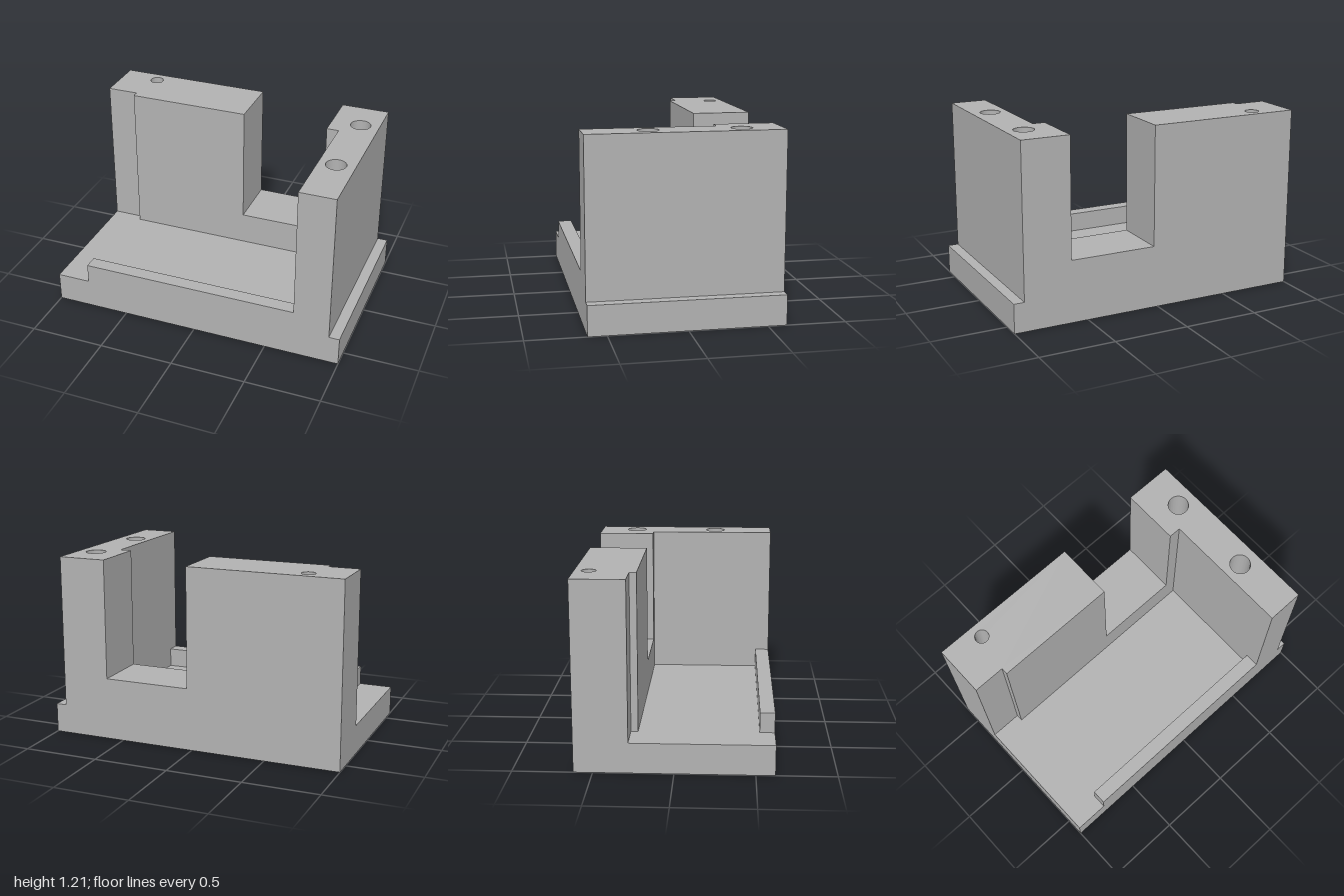
import * as THREE from 'three';
import { mergeGeometries, toCreasedNormals } from 'three/addons/utils/BufferGeometryUtils.js';

const BASE_TOP = 0.195, WALL_TOP = 1.21, HALF_Z = 0.62, REAR_Z = -0.235;

// Flat cap facing up or down, pierced by round holes [x, z, radius, depth].
function cap(outline, y, up, holes) {
  const s = up ? -1 : 1;
  const shape = new THREE.Shape(outline.map(([x, z]) => new THREE.Vector2(x, s * z)));
  for (const [x, z, r] of holes) {
    const hole = new THREE.Path();
    hole.absarc(x, s * z, r, 0, Math.PI * 2, true);
    shape.holes.push(hole);
  }
  return new THREE.ShapeGeometry(shape, 32).rotateX(s * Math.PI / 2).translate(0, y, 0).toNonIndexed();
}

// Vertical faces around an outline listed counterclockwise from above.
function sides(outline, y0, y1) {
  return outline.map(([ax, az], i) => {
    const [bx, bz] = outline[(i + 1) % outline.length];
    const g = new THREE.PlaneGeometry(Math.hypot(bx - ax, bz - az), y1 - y0);
    g.rotateY(-Math.atan2(bz - az, bx - ax));
    return g.translate((ax + bx) / 2, (y0 + y1) / 2, (az + bz) / 2).toNonIndexed();
  });
}

// Inside of a blind hole, opening upward or downward at height y.
function bore([x, z, r, depth], y, up) {
  const end = up ? y - depth : y + depth;
  const profile = up ? [[r, y], [r, end], [0, end]] : [[0, end], [r, end], [r, y]];
  const g = new THREE.LatheGeometry(profile.map(p => new THREE.Vector2(...p)), 64);
  return toCreasedNormals(g.translate(x, 0, z), 0.6);
}

function block(outline, y0, y1, topHoles = [], bottomHoles = []) {
  return mergeGeometries([
    cap(outline, y1, true, topHoles),
    cap(outline, y0, false, bottomHoles),
    ...sides(outline, y0, y1),
    ...topHoles.map(h => bore(h, y1, true)),
    ...bottomHoles.map(h => bore(h, y0, false)),
  ]);
}

const rect = (x0, x1, z0, z1) => [[x0, z1], [x1, z1], [x1, z0], [x0, z0]];

export function createModel() {
  const model = new THREE.Group();
  model.name = 'fixtureBlock';
  const grey = new THREE.MeshStandardMaterial({ color: 0xb2b2b2 });
  grey.name = 'grey';
  const add = (name, geometry) => {
    const mesh = new THREE.Mesh(geometry, grey);
    mesh.name = name;
    model.add(mesh);
  };

  // Base plate with four mounting holes underneath
  const mounts = [];
  for (const x of [-0.49, 0.81]) for (const z of [-0.43, -0.045]) mounts.push([x, z, 0.065, 0.14]);
  add('basePlate', block(rect(-1, 1, -HALF_Z, HALF_Z), 0, BASE_TOP, [], mounts));

  // Rear wall with a shallow step at its outer end
  const rear = [[-1, -HALF_Z], [-1, -0.28], [-0.79, -0.28], [-0.79, REAR_Z], [0.03, REAR_Z], [0.03, -HALF_Z]];
  add('rearWall', block(rear, BASE_TOP, WALL_TOP, [[-0.745, -0.53, 0.045, 0.3]]));

  // Low sill between the two walls
  add('rearSill', block(rect(0.03, 0.61, -HALF_Z, REAR_Z), BASE_TOP, 0.415));

  // Side wall, thicker at the rear, with two holes on top
  const side = [[0.61, -HALF_Z], [0.61, REAR_Z], [0.69, REAR_Z], [0.69, HALF_Z], [0.93, HALF_Z], [0.93, -HALF_Z]];
  const sideHoles = [-0.365, 0.215].map(z => [0.805, z, 0.067, 0.35]);
  add('sideWall', block(side, BASE_TOP, WALL_TOP, sideHoles));

  // Narrow lip along the front edge
  add('frontLip', block(rect(-0.775, 0.69, 0.525, HALF_Z), BASE_TOP, 0.325));

  return model;
}
